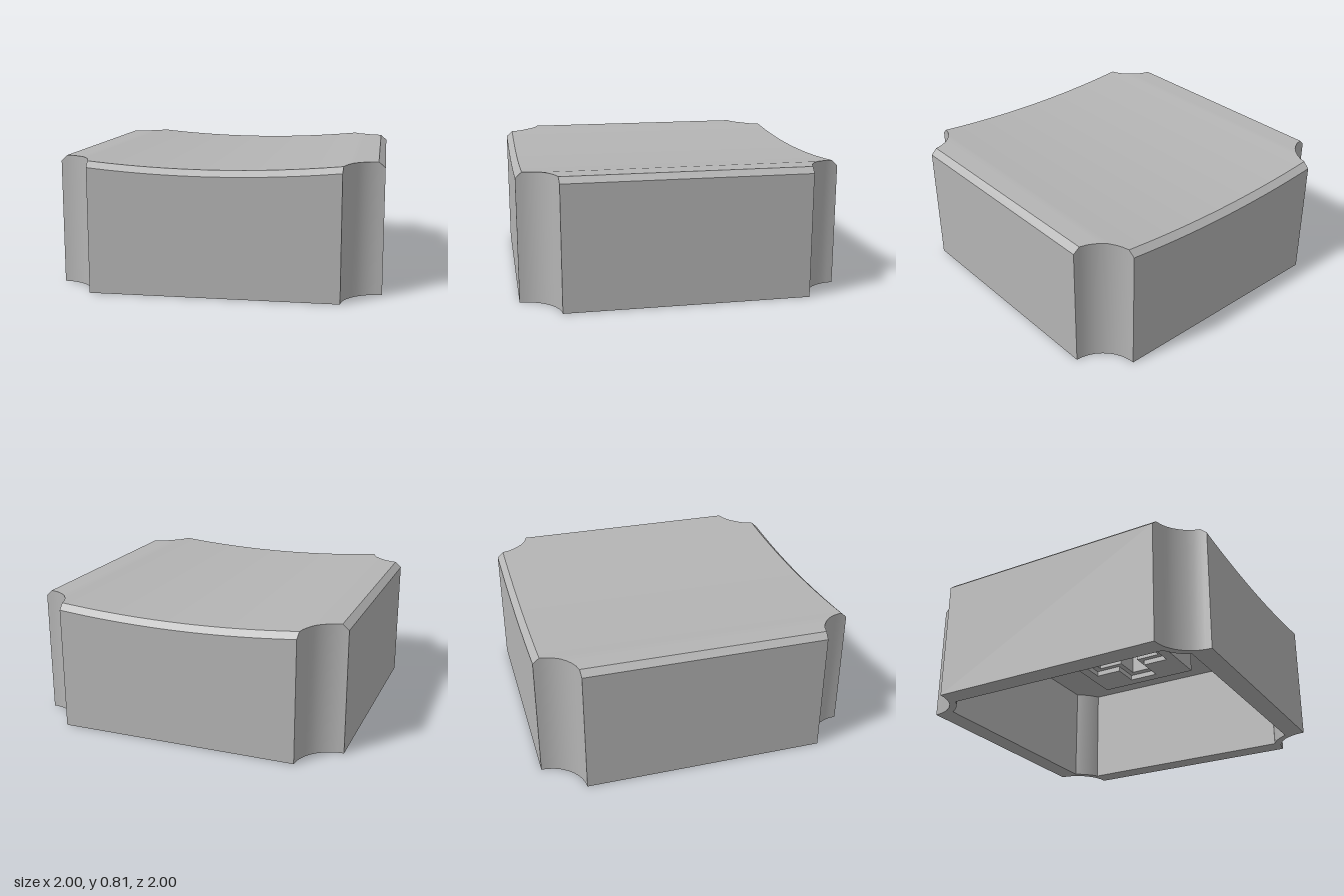
import * as THREE from 'three';
import { toCreasedNormals } from 'three/addons/utils/BufferGeometryUtils.js';

const NOTCH = 0.24;      // radius of the scooped corners
const BEVEL_AT = 0.96;   // where the top edge bevel begins
const CEILING = 0.68;    // cavity roof
const BLOCK_Y = 0.46;    // underside of the socket block
const RAD = Math.PI / 180;
const STEPS = [0, 9.6, 20, 30, 40, 50, 60, 70, 80.4, 90].map((d) => d * RAD);

// Builds creased geometry from a list of quads, skipping collapsed triangles
function quadGeometry(quads) {
  const pos = [];
  const area = new THREE.Triangle();
  for (const [a, b, c, d] of quads) {
    for (const tri of [[a, b, c], [a, c, d]]) {
      area.set(...tri);
      if (area.getArea() > 1e-8) tri.forEach((p) => pos.push(p.x, p.y, p.z));
    }
  }
  const g = new THREE.BufferGeometry();
  g.setAttribute('position', new THREE.Float32BufferAttribute(pos, 3));
  return toCreasedNormals(g, 0.5);
}

// Repeats one quadrant of an outline four times, counter-clockwise
function fourfold(quadrant) {
  const pts = [];
  for (let q = 0; q < 4; q++) {
    quadrant.forEach(([x, z]) =>
      pts.push(new THREE.Vector2(x, z).rotateAround(new THREE.Vector2(), q * Math.PI / 2)));
  }
  return pts;
}

// Square outline with concave corners, arcs centred on (1, 1)
function notched(half, r) {
  const a = Math.asin((1 - half) / r);
  return fourfold(STEPS.map((t) => {
    const u = Math.PI / 2 - a - (t / (Math.PI / 2)) * (Math.PI / 2 - 2 * a);
    return [1 - r * Math.cos(u), 1 - r * Math.sin(u)];
  }));
}

const cross = (len, w) => fourfold([[len, -w], [len, w], [w, w]]);

// Horizontal face looking down
function plate(outline, hole, y) {
  const shape = new THREE.Shape(outline);
  if (hole) shape.holes.push(new THREE.Path(hole));
  return new THREE.ShapeGeometry(shape).rotateX(Math.PI / 2).translate(0, y, 0);
}

// Vertical wall following an outline, facing inward unless told otherwise
function wall(outline, y0, y1, outward = false) {
  return quadGeometry(outline.map((p, i) => {
    const q = outline[(i + 1) % outline.length];
    const quad = [[p, y0], [q, y0], [q, y1], [p, y1]].map(([v, y]) => new THREE.Vector3(v.x, y, v.y));
    return outward ? quad.reverse() : quad;
  }));
}

// Outer shell: cross-sections swept along x, with a dished top and bevelled edges
function shellGeometry() {
  const corner = STEPS.map((t) => [1 - NOTCH * Math.cos(t), 1 - NOTCH * Math.sin(t)]);
  const stations = corner.map(([x, z]) => [-x, z]).reverse();
  for (let i = 1; i < 24; i++) stations.push([-0.76 + (1.52 * i) / 24, 1]);
  stations.push(...corner);

  const bevel = (v) => Math.max(0, Math.abs(v) - BEVEL_AT) * 0.88;
  const slices = stations.map(([x, half]) => {
    const top = Math.min(0.812, 0.768 + 0.066 * x * x) - bevel(x);
    const inner = Math.min(half, BEVEL_AT);
    const edge = top - bevel(half);
    return [[half, 0], [half, edge], [inner, top], [-inner, top], [-half, edge], [-half, 0]]
      .map(([z, y]) => new THREE.Vector3(x, y, z));
  });

  const quads = [];
  for (let i = 0; i < slices.length - 1; i++) {
    const [s, n] = [slices[i], slices[i + 1]];
    for (let j = 0; j < 5; j++) quads.push([s[j], n[j], n[j + 1], s[j + 1]]);
  }
  const first = slices[0], last = slices[slices.length - 1];
  quads.push([last[0], last[5], last[4], last[1]], [first[5], first[0], first[1], first[4]]);
  return quadGeometry(quads);
}

export function createModel() {
  const model = new THREE.Group();
  model.name = 'keycap';
  const grey = new THREE.MeshStandardMaterial({ color: 0xb4b4b4 });
  grey.name = 'grey plastic';
  const add = (name, geometry, parent = model) => {
    const mesh = new THREE.Mesh(geometry, grey);
    mesh.name = name;
    parent.add(mesh);
  };

  // Shell and hollow underside
  const outer = notched(1, NOTCH);
  const inner = notched(0.87, 0.285);
  const block = fourfold([[0.35, 0.35]]);
  add('outerShell', shellGeometry());
  add('bottomRim', plate(outer, inner, 0));
  add('cavityWalls', wall(inner, 0, CEILING));
  add('cavityCeiling', plate(inner, block, CEILING));

  // Square block with a stepped cross-shaped socket
  const socket = new THREE.Group();
  socket.name = 'stemSocket';
  model.add(socket);
  const lip = cross(0.28, 0.1);
  const slot = cross(0.235, 0.065);
  const ledge = BLOCK_Y + 0.035;
  add('blockSides', wall(block, BLOCK_Y, CEILING, true), socket);
  add('blockUnderside', plate(block, lip, BLOCK_Y), socket);
  add('socketLip', wall(lip, BLOCK_Y, ledge), socket);
  add('socketLedge', plate(lip, slot, ledge), socket);
  add('socketWalls', wall(slot, ledge, CEILING), socket);
  add('socketEnd', plate(slot, null, CEILING), socket);

  return model;
}
